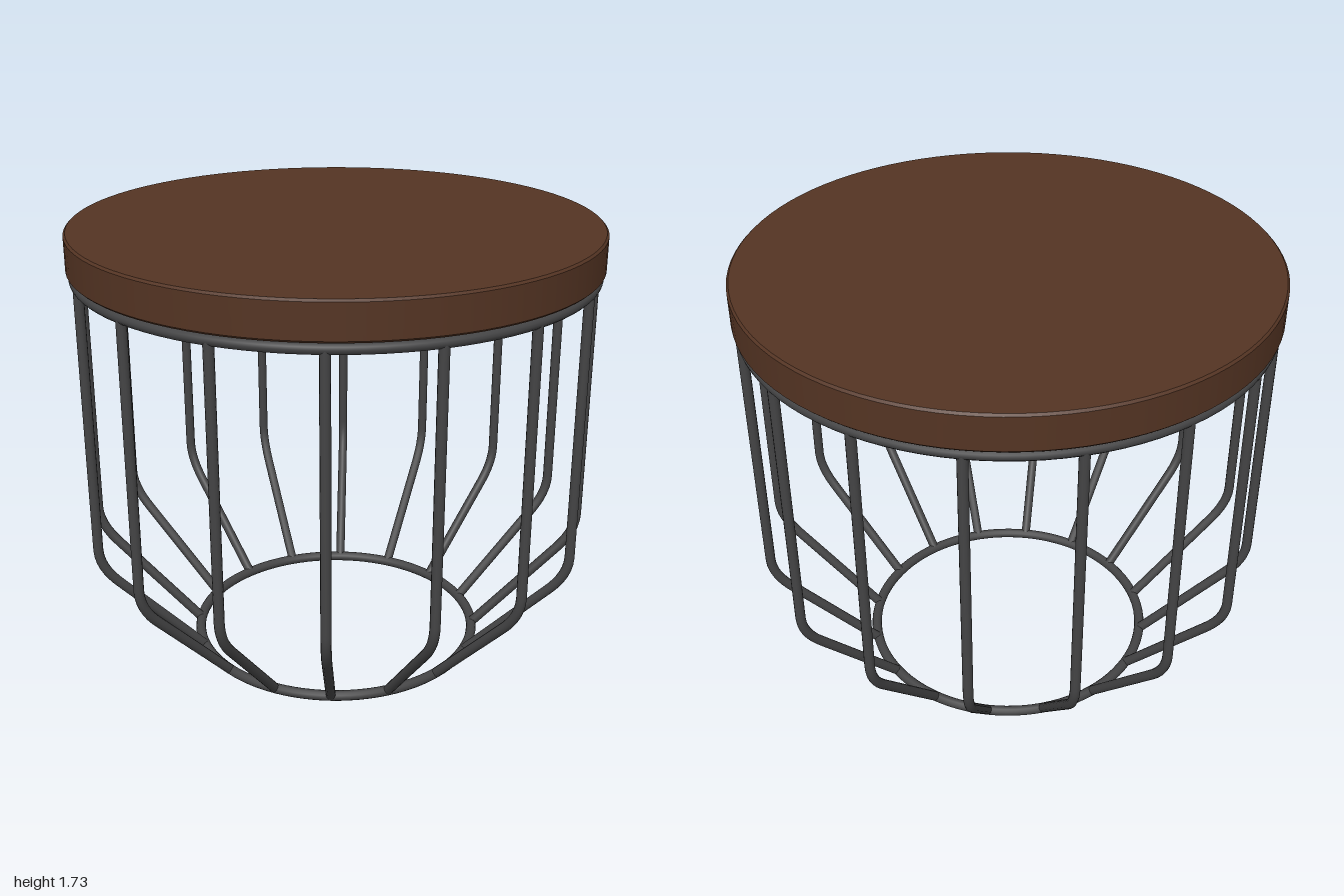
import * as THREE from 'three';

export function createModel() {
  const wood = new THREE.MeshStandardMaterial({ color: 0x543423 });
  wood.name = 'dark wood';
  const metal = new THREE.MeshStandardMaterial({ color: 0x444445 });
  metal.name = 'dark metal';

  const model = new THREE.Group();
  model.name = 'sideTable';
  const add = (name, geometry, material, parent = model) => {
    const mesh = new THREE.Mesh(geometry, material);
    mesh.name = name;
    parent.add(mesh);
    return mesh;
  };

  // Round top with slightly softened rims; repeated points keep the faces crisp
  const y0 = 1.588, y1 = 1.73, b = 0.008;
  const profile = [
    [0, y0], [1 - b, y0], [1 - b, y0], [1, y0 + b], [1, y0 + b],
    [1, y1 - b], [1, y1 - b], [1 - b, y1], [1 - b, y1], [0, y1],
  ].map(([r, y]) => new THREE.Vector2(r, y));
  add('tableTop', new THREE.LatheGeometry(profile, 96), wood);

  // Rings that join the bars
  const wire = 0.019, topR = 0.972, topY = 1.564, baseR = 0.566, baseY = 0.024;
  const ring = (name, radius, y) => {
    const mesh = add(name, new THREE.TorusGeometry(radius, wire + 0.001, 12, 96), metal);
    mesh.rotation.x = Math.PI / 2;
    mesh.position.y = y;
  };
  ring('topRing', topR, topY);
  ring('baseRing', baseR, baseY);

  // Bent bar: upright, rounded bend, then sloping in to the base ring
  const v = (r, y) => new THREE.Vector3(r, y, 0);
  const path = new THREE.CurvePath();
  const bendTop = v(topR, 0.535), bendEnd = v(0.895, 0.375);
  path.add(new THREE.LineCurve3(v(topR, topY), bendTop));
  path.add(new THREE.QuadraticBezierCurve3(bendTop, v(topR, 0.455), bendEnd));
  path.add(new THREE.LineCurve3(bendEnd, v(baseR, baseY)));
  const barGeometry = new THREE.TubeGeometry(path, 64, wire, 12, false);

  const bars = new THREE.Group();
  bars.name = 'bars';
  model.add(bars);
  const count = 16;
  for (let i = 0; i < count; i++) {
    add(`bar${i + 1}`, barGeometry, metal, bars).rotation.y = (i / count) * Math.PI * 2;
  }
  return model;
}
